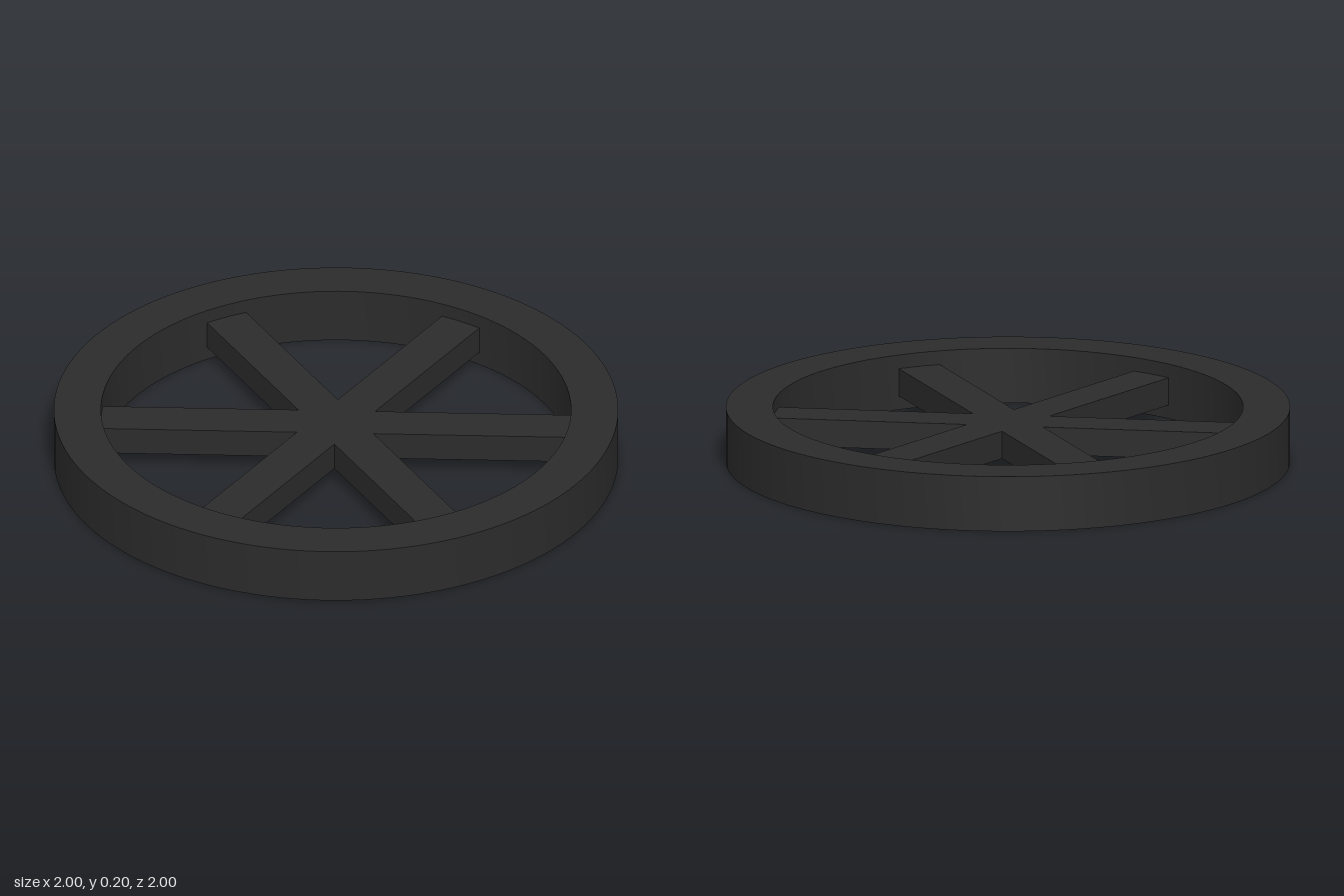
import * as THREE from 'three';
import { toCreasedNormals } from 'three/addons/utils/BufferGeometryUtils.js';

const HEIGHT = 0.2, OUTER = 1, INNER = 0.833;
const SPOKE_WIDTH = 0.157, SPOKE_HEIGHT = 0.1;

export function createModel() {
  const wheel = new THREE.Group();
  wheel.name = 'wheel';
  const material = new THREE.MeshStandardMaterial({ color: 0x2b2b2b });

  // Rim: a flat ring with square edges, lying on the ground
  const ring = new THREE.Shape().absarc(0, 0, OUTER, 0, Math.PI * 2);
  ring.holes.push(new THREE.Path().absarc(0, 0, INNER, 0, Math.PI * 2, true));
  const rimGeometry = new THREE.ExtrudeGeometry(ring, {
    depth: HEIGHT, bevelEnabled: false, curveSegments: 64,
  }).rotateX(-Math.PI / 2);
  const rim = new THREE.Mesh(toCreasedNormals(rimGeometry, Math.PI / 6), material);
  rim.name = 'rim';
  wheel.add(rim);

  // Spokes: three bars through the centre, half the rim's height, ends sunk into the rim
  const barGeometry = new THREE.BoxGeometry(SPOKE_WIDTH, SPOKE_HEIGHT, INNER * 2 + 0.06);
  for (let i = 0; i < 3; i++) {
    const bar = new THREE.Mesh(barGeometry, material);
    bar.name = `spokeBar${i + 1}`;
    bar.position.y = HEIGHT / 2;
    bar.rotation.y = (i * Math.PI) / 3;
    wheel.add(bar);
  }
  return wheel;
}
